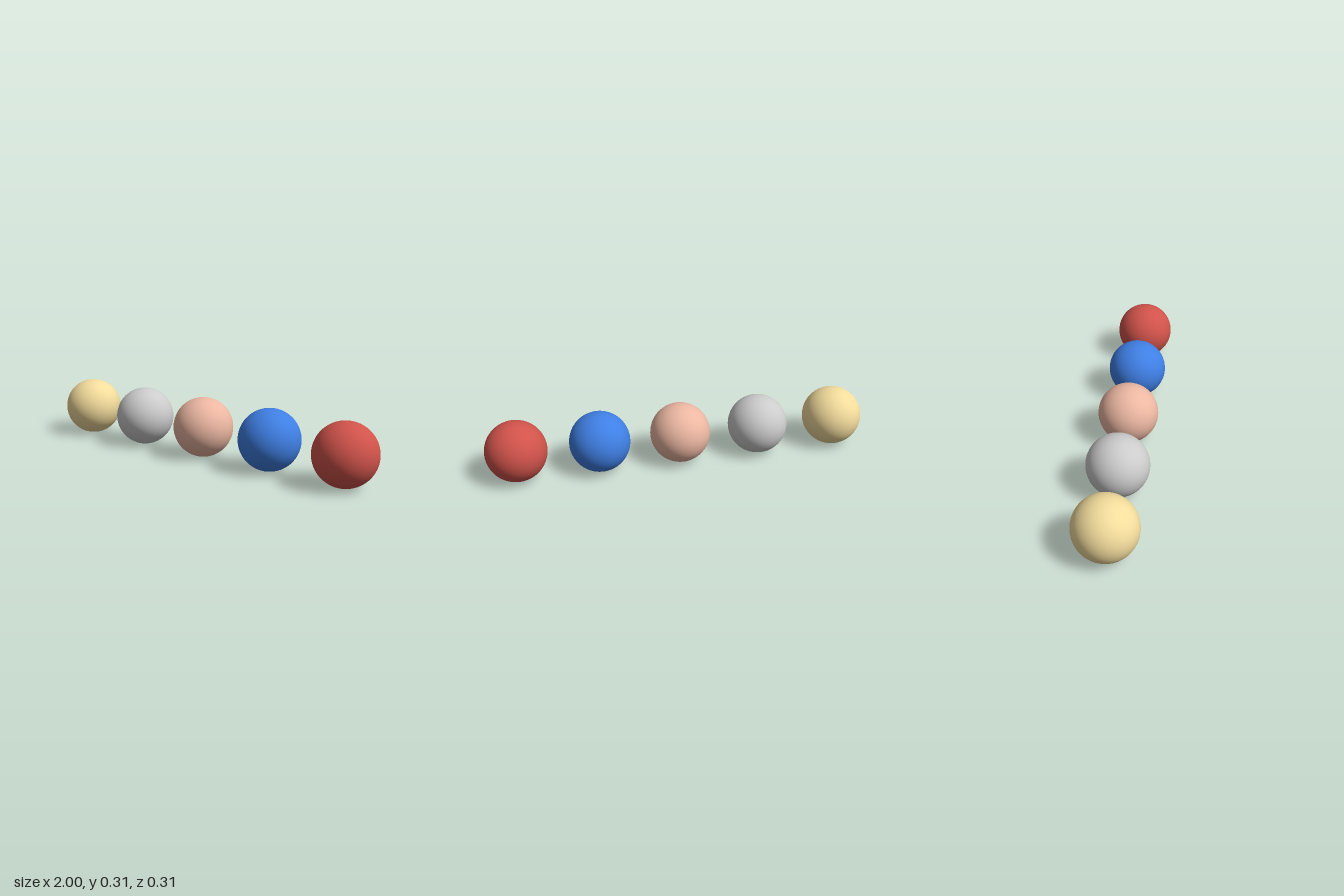
import * as THREE from 'three';

// A row of five evenly spaced, smooth balls, listed from -x to +x
const RADIUS = 0.156;
const SPACING = 0.422;
const BALLS = [
  ['goldBall', 0xf3dc9c],
  ['silverBall', 0xd9dadd],
  ['copperBall', 0xecb7a2],
  ['blueBall', 0x3f7fe4],
  ['redBall', 0xd0534b],
];

export function createModel() {
  const group = new THREE.Group();
  group.name = 'ballRow';
  const sphere = new THREE.SphereGeometry(RADIUS, 64, 32);

  BALLS.forEach(([name, color], i) => {
    const ball = new THREE.Mesh(sphere, new THREE.MeshStandardMaterial({ color }));
    ball.name = name;
    ball.position.set((i - (BALLS.length - 1) / 2) * SPACING, RADIUS, 0);
    group.add(ball);
  });

  return group;
}
